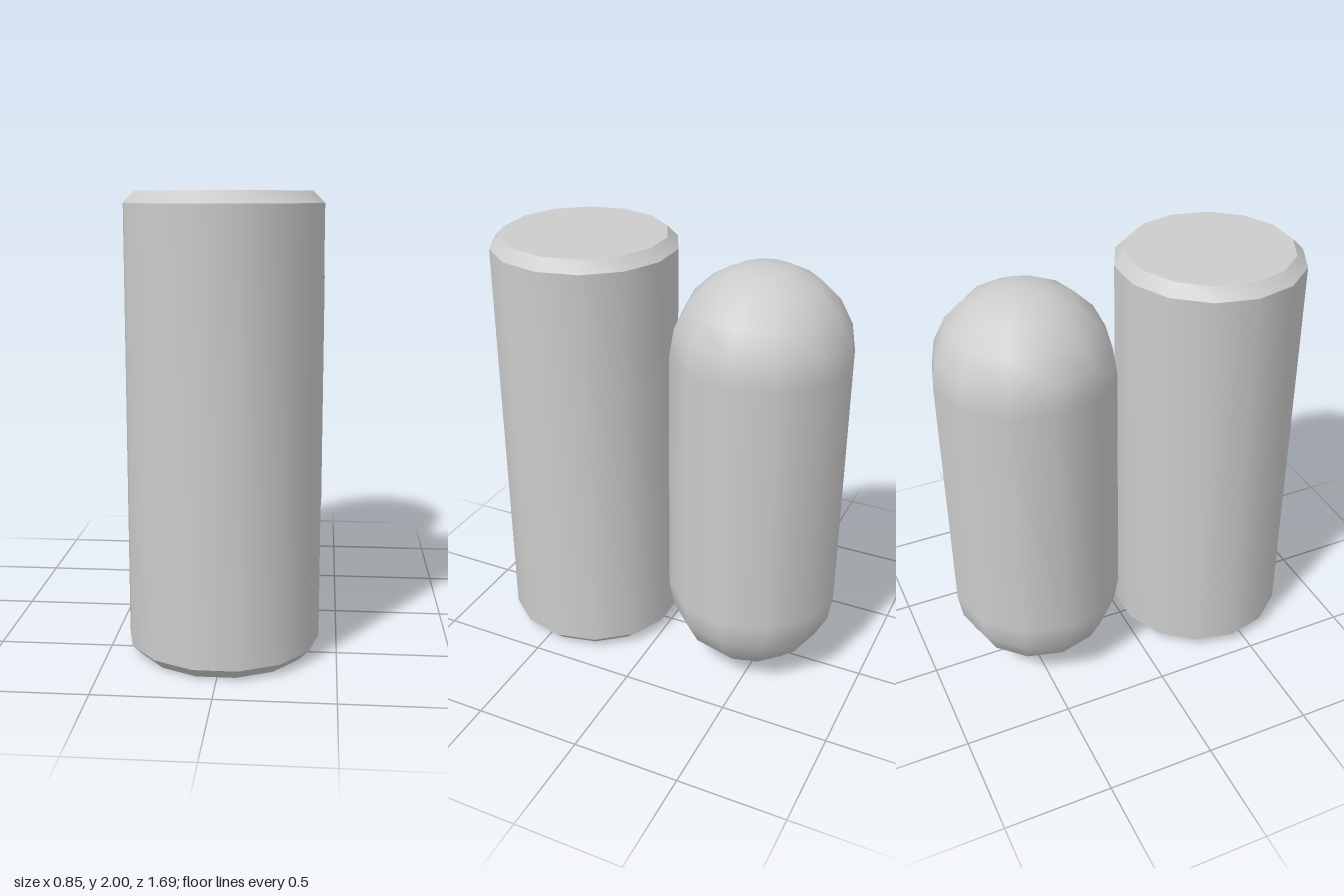
import * as THREE from 'three';
import { toCreasedNormals } from 'three/addons/utils/BufferGeometryUtils.js';

export function createModel() {
  const model = new THREE.Group();
  const material = new THREE.MeshStandardMaterial({ color: 0xcccccc });

  function add(name, geometry, x, y, z) {
    const mesh = new THREE.Mesh(geometry, material);
    mesh.name = name;
    mesh.position.set(x, y, z);
    model.add(mesh);
  }

  // Front: 14-sided cylinder with chamfered rims, smooth walls and sharp rims
  const radius = 0.425, height = 2, chamfer = 0.05;
  const profile = [
    [0, 0],
    [radius - chamfer, 0],
    [radius, chamfer],
    [radius, height - chamfer],
    [radius - chamfer, height],
    [0, height],
  ].map(([r, y]) => new THREE.Vector2(r, y));
  const cylinder = new THREE.LatheGeometry(profile, 14, Math.PI / 2);
  add('chamferedCylinder', toCreasedNormals(cylinder, 0.6), -0.004, 0, 0.428);

  // Back: smooth 12-sided capsule, slightly shorter and slimmer
  const capRadius = 0.403;
  const capsule = new THREE.CapsuleGeometry(capRadius, 1.98 - 2 * capRadius, 5, 12);
  add('capsule', capsule, 0.021, 1, -0.443);

  return model;
}
